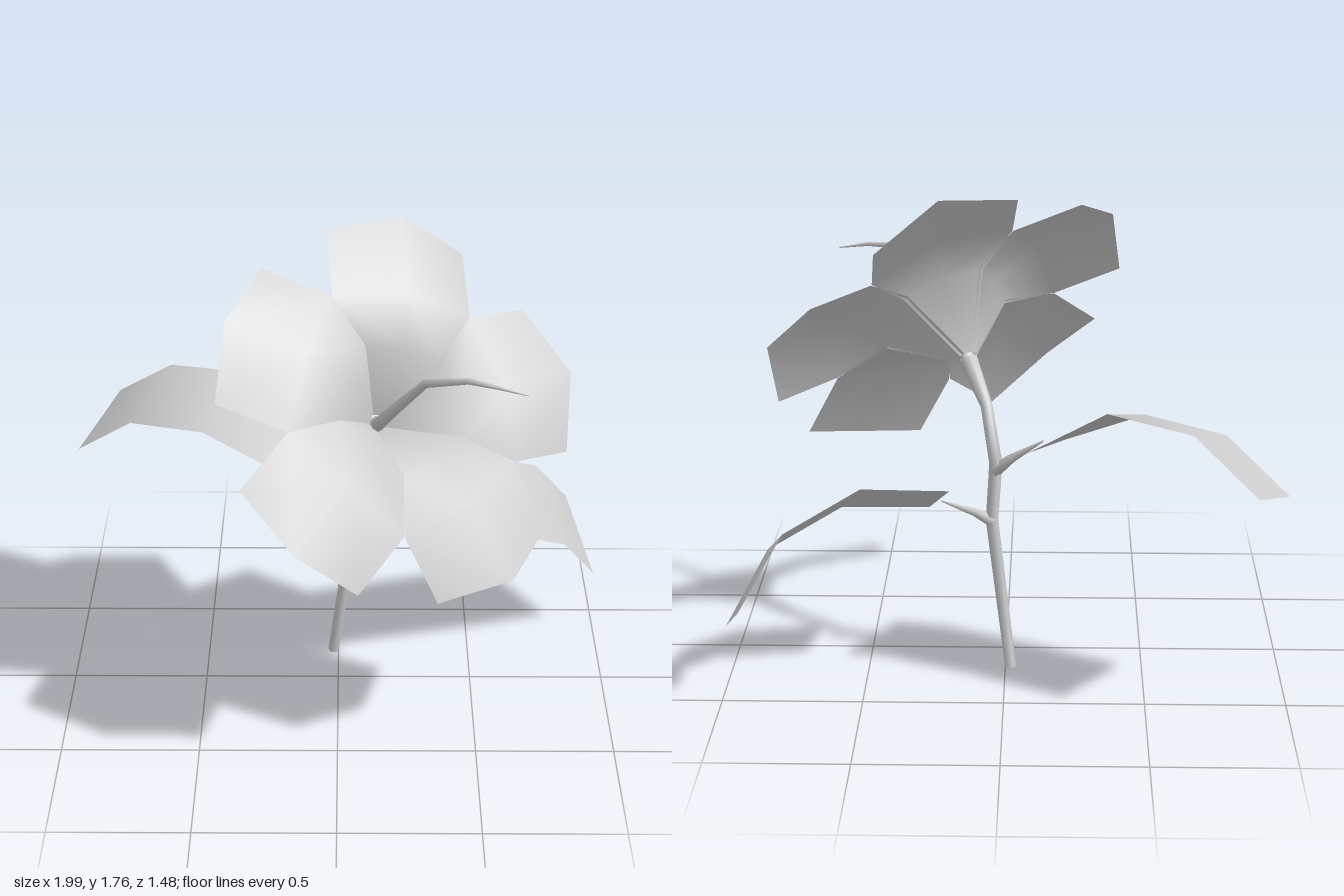
import * as THREE from 'three';

const V = (p) => new THREE.Vector3(...p);
const solid = new THREE.MeshStandardMaterial({ color: 0xcccccc });
const thin = new THREE.MeshStandardMaterial({ color: 0xcccccc, side: THREE.DoubleSide });

// Joins rows of points into one smooth surface
function loft(name, rows, material, closed = false) {
  const n = rows[0].length, index = [];
  for (let i = 0; i < rows.length - 1; i++) {
    for (let j = 0; j < (closed ? n : n - 1); j++) {
      const a = i * n + j, b = i * n + ((j + 1) % n);
      index.push(a, b, b + n, a, b + n, a + n);
    }
  }
  const geometry = new THREE.BufferGeometry().setFromPoints(rows.flat());
  geometry.setIndex(index);
  geometry.computeVertexNormals();
  const mesh = new THREE.Mesh(geometry, material);
  mesh.name = name;
  return mesh;
}

// Tapered stalk through points given as [x, y, z, radius]
function stalk(name, points, sides = 6) {
  const centres = points.map((p) => V(p.slice(0, 3)));
  const rings = centres.map((c, i) => {
    const before = centres[Math.max(i - 1, 0)];
    const after = centres[Math.min(i + 1, centres.length - 1)];
    const t = after.clone().sub(before).normalize();
    const a = new THREE.Vector3(0, 0, 1).cross(t).normalize();
    const b = t.clone().cross(a);
    return Array.from({ length: sides }, (_, j) => {
      const w = (j / sides) * Math.PI * 2, r = points[i][3];
      return c.clone().addScaledVector(a, r * Math.cos(w)).addScaledVector(b, r * Math.sin(w));
    });
  });
  // close both ends
  rings.unshift(rings[0].map(() => centres[0].clone()));
  rings.push(rings[rings.length - 1].map(() => centres[centres.length - 1].clone()));
  return loft(name, rings, solid, true);
}

export function createModel() {
  const model = new THREE.Group();

  // Stem with two leaf stalks
  model.add(stalk('stem', [
    [-0.02, 0, -0.19, 0.02], [0.05, 0.54, -0.1, 0.023], [0.035, 0.77, -0.135, 0.024],
    [0.07, 0.96, -0.05, 0.022], [0.14, 1.1, 0.07, 0.034],
  ]));
  model.add(stalk('rightLeafStalk', [
    [0.04, 0.74, -0.13, 0.026], [-0.02, 0.795, -0.155, 0.017], [-0.135, 0.88, -0.21, 0.003],
  ]));
  model.add(stalk('leftLeafStalk', [
    [0.05, 0.54, -0.1, 0.026], [0.11, 0.575, -0.115, 0.016], [0.23, 0.63, -0.15, 0.003],
  ]));

  // Leaves: bent ribbons, each row running from one edge to the other
  const leaf = (name, rows) => model.add(loft(name, rows.map((r) => r.map(V)), thin));
  leaf('rightLeaf', [
    [[-0.215, 0.837, -0.06], [-0.08, 0.89, -0.38]],
    [[-0.5, 0.96, -0.145], [-0.355, 1.06, -0.46]],
    [[-0.78, 0.93, -0.285], [-0.645, 1.027, -0.595]],
    [[-0.995, 0.752, -0.42], [-0.86, 0.85, -0.74]],
  ]);
  leaf('leftLeaf', [
    [[0.285, 0.55, 0.005], [0.195, 0.72, -0.3]],
    [[0.6, 0.577, -0.075], [0.505, 0.752, -0.378]],
    [[0.86, 0.458, -0.208], [0.765, 0.635, -0.52]],
    [[0.995, 0.232, -0.383], [0.905, 0.41, -0.69]],
  ]);

  // Flower: local x points along a petal, z along the flower axis
  const flower = new THREE.Group();
  flower.name = 'flower';
  const axis = V([0.43, 0.617, 0.66]).normalize();
  const side = axis.clone().cross(V([0, 0.74, -0.67])).normalize();
  const along = side.clone().cross(axis);
  flower.applyMatrix4(new THREE.Matrix4().makeBasis(along, side, axis).setPosition(0.227, 1.231, 0.205));
  // [edge reach, middle reach, half width, edge height, middle height]
  const petalRows = [
    [0.025, 0.03, 0.03, -0.2, -0.2],
    [0.2, 0.21, 0.158, 0.005, 0.02],
    [0.378, 0.41, 0.272, 0, 0.045],
    [0.635, 0.715, 0.272, -0.05, 0.01],
  ];
  for (let i = 0; i < 5; i++) {
    const petal = loft('petal', petalRows.map(([er, mr, w, eh, mh]) => [
      V([er, -w, eh]), V([mr, 0, mh]), V([er, w, eh]),
    ]), thin);
    petal.rotation.z = (i * Math.PI * 2) / 5;
    flower.add(petal);
  }
  model.add(flower);

  // Pistil curving out of the throat
  model.add(stalk('pistil', [
    [0.14, 1.1, 0.07, 0.026], [0.2, 1.21, 0.17, 0.022], [0.3, 1.375, 0.31, 0.016],
    [0.44, 1.44, 0.43, 0.012], [0.53, 1.435, 0.465, 0.008], [0.64, 1.415, 0.49, 0.002],
  ]));
  return model;
}
